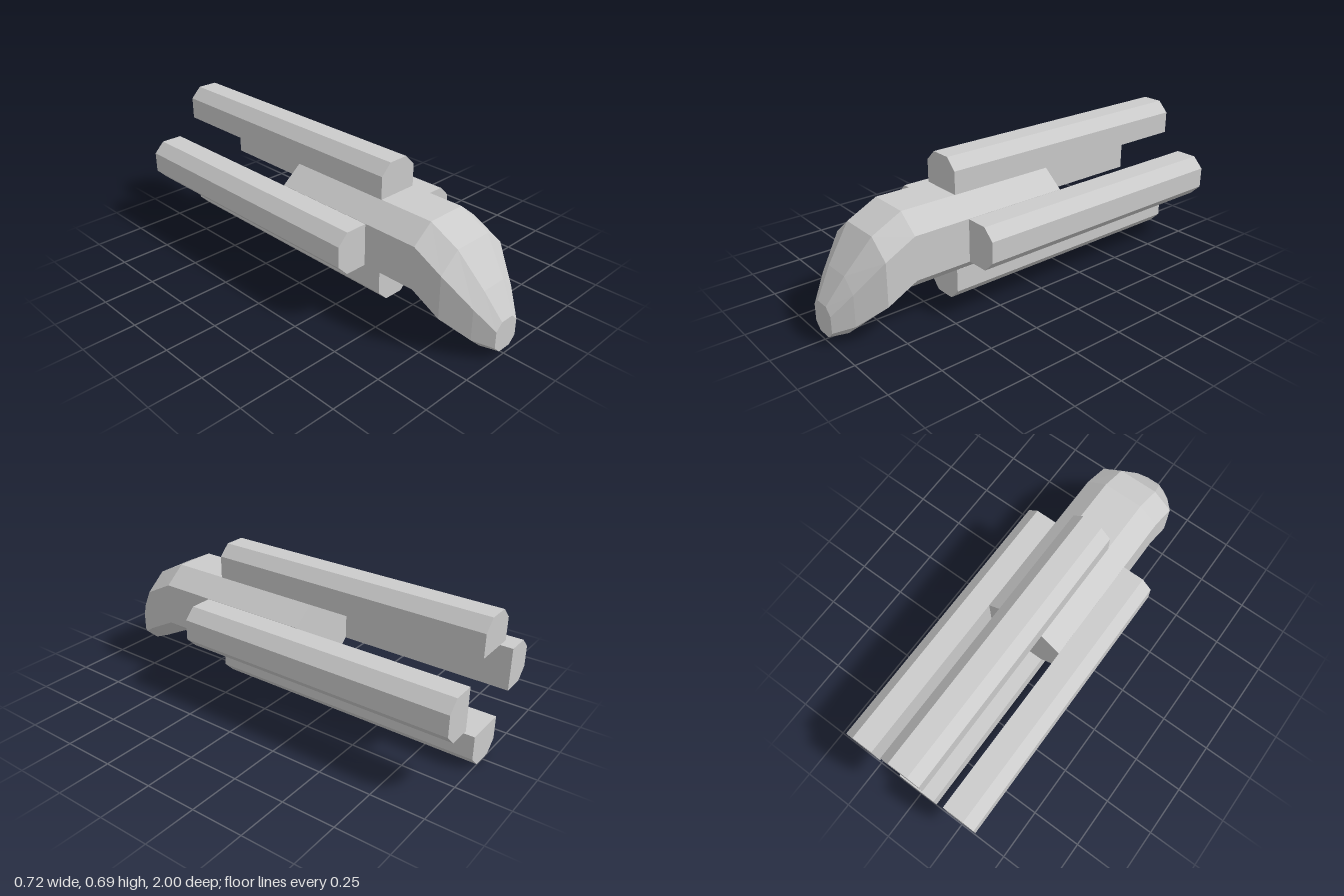
import * as THREE from 'three';

const material = new THREE.MeshStandardMaterial({ color: 0xcccccc, flatShading: true });

// Octagonal sections of the body: z, half width, inner half width, then heights from top to bottom
const SECTIONS = [
  [-0.15, 0.2, 0.1, 0.53, 0.45, 0.245, 0.163],
  [0.655, 0.2, 0.1, 0.53, 0.45, 0.245, 0.163],
  [0.8, 0.2, 0.1, 0.457, 0.375, 0.17, 0.09],
  [0.92, 0.13, 0.065, 0.3, 0.24, 0.09, 0.03],
  [1.0, 0.07, 0.035, 0.173, 0.14, 0.06, 0.027],
];

// Corners counter-clockwise as seen from the front
function ring([z, w, i, top, upper, lower, bottom]) {
  return [
    [i, top], [-i, top], [-w, upper], [-w, lower],
    [-i, bottom], [i, bottom], [w, lower], [w, upper],
  ].map(([x, y]) => [x, y, z]);
}

function loftGeometry(sections) {
  const rings = sections.map(ring);
  const n = rings[0].length;
  const positions = [];
  const tri = (a, b, c) => positions.push(...a, ...b, ...c);
  for (let s = 0; s < rings.length - 1; s++) {
    const back = rings[s], front = rings[s + 1];
    for (let k = 0; k < n; k++) {
      const m = (k + 1) % n;
      tri(back[k], back[m], front[m]);
      tri(back[k], front[m], front[k]);
    }
  }
  // End caps
  const first = rings[0], last = rings[rings.length - 1];
  for (let k = 1; k < n - 1; k++) {
    tri(first[0], first[k + 1], first[k]);
    tri(last[0], last[k], last[k + 1]);
  }
  const geometry = new THREE.BufferGeometry();
  geometry.setAttribute('position', new THREE.Float32BufferAttribute(positions, 3));
  geometry.computeVertexNormals();
  return geometry;
}

// Long bar resting on the body, with its two outer edges bevelled
function rail(name, halfWidth, height, x, y, angle) {
  const c = 0.052;
  const shape = new THREE.Shape([
    [-halfWidth, 0], [halfWidth, 0], [halfWidth, height - c],
    [halfWidth - c, height], [c - halfWidth, height], [-halfWidth, height - c],
  ].map(([px, py]) => new THREE.Vector2(px, py)));
  const geometry = new THREE.ExtrudeGeometry(shape, { depth: 1.38, bevelEnabled: false });
  const mesh = new THREE.Mesh(geometry, material);
  mesh.name = name;
  mesh.position.set(x, y, -1);
  mesh.rotation.z = angle;
  return mesh;
}

export function createModel() {
  const group = new THREE.Group();

  // Body with a drooping tapered nose
  const body = new THREE.Mesh(loftGeometry(SECTIONS), material);
  body.name = 'body';
  group.add(body);

  // Four rails around the body
  group.add(
    rail('topRail', 0.102, 0.16, 0, 0.53, 0),
    rail('bottomRail', 0.102, 0.163, 0, 0.163, Math.PI),
    rail('leftRail', 0.102, 0.16, 0.2, 0.347, -Math.PI / 2),
    rail('rightRail', 0.102, 0.16, -0.2, 0.347, Math.PI / 2),
  );
  return group;
}
